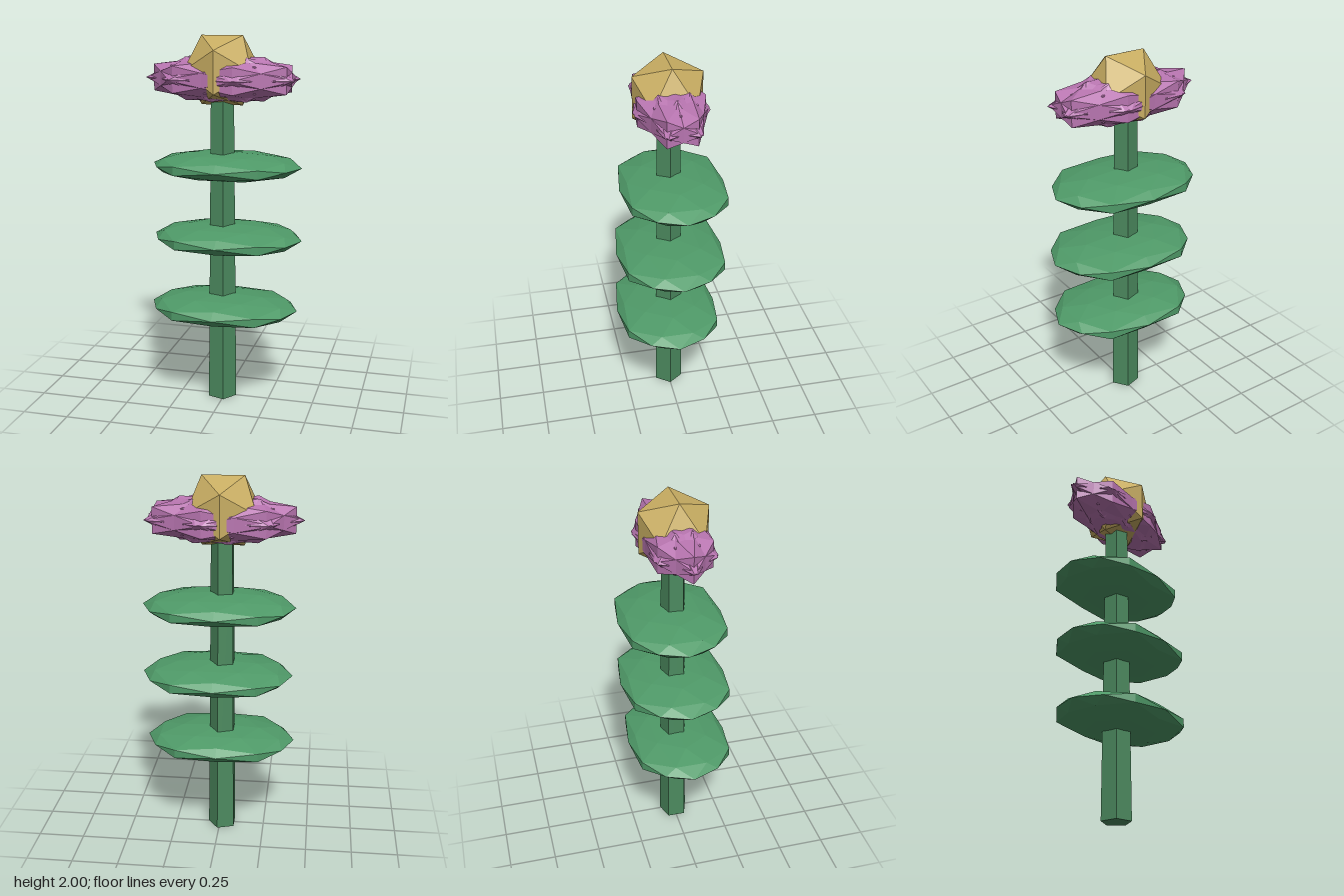
import * as THREE from 'three';

const AXIS_X = -0.016;

function part(name, geometry, color) {
  const mesh = new THREE.Mesh(geometry, new THREE.MeshStandardMaterial({ color, flatShading: true }));
  mesh.name = name;
  return mesh;
}

// Flat faceted leaf disc with a fuller rim
function leafGeometry(rx, ry, rz) {
  const geometry = new THREE.IcosahedronGeometry(1, 1);
  const p = geometry.attributes.position;
  for (let i = 0; i < p.count; i++) {
    const bump = 1 + 0.1 * Math.exp(-(((Math.abs(p.getY(i)) - 0.309) / 0.1) ** 2));
    p.setXYZ(i, p.getX(i) * bump * rx, p.getY(i) * ry, p.getZ(i) * bump * rz);
  }
  geometry.computeVertexNormals();
  return geometry;
}

export function createModel() {
  const model = new THREE.Group();
  model.name = 'flower';

  // Five-sided tapering stem
  const stem = part('stem', new THREE.CylinderGeometry(0.063, 0.081, 1.78, 5, 1, false, Math.PI / 2), 0x4c8a5f);
  stem.position.set(AXIS_X, 0.89, 0);
  model.add(stem);

  // Three stacked leaf discs: x, y, z of the centre and the z radius
  const leaves = [
    [-0.002, 0.535, 0.017, 0.278],
    [0.014, 0.925, 0, 0.29],
    [0.004, 1.315, -0.017, 0.278],
  ];
  leaves.forEach(([x, y, z, rz], i) => {
    const leaf = part(`leaf${i + 1}`, leafGeometry(0.408, 0.076, rz), 0x4f9a68);
    leaf.position.set(x, y, z);
    model.add(leaf);
  });

  // Spiky blossom: overlapping faceted petals turned about the axis, squashed as a whole
  const blossom = new THREE.Group();
  blossom.name = 'blossom';
  const count = 7;
  for (let k = 0; k < count; k++) {
    const a = -Math.PI / 2 + (k / count) * Math.PI * 2;
    const petal = part(`petal${k + 1}`, new THREE.IcosahedronGeometry(1, 0), 0xb875b0);
    petal.rotation.y = a;
    petal.position.set(Math.sin(a) * 0.1, 0, Math.cos(a) * 0.1);
    blossom.add(petal);
  }
  blossom.scale.set(0.405, 0.133, 0.186);
  blossom.position.set(-0.006, 1.777, 0);
  model.add(blossom);

  // Faceted flower centre
  const centre = part('flowerCentre', new THREE.IcosahedronGeometry(0.2116, 0), 0xc8ad62);
  centre.position.set(AXIS_X, 1.82, 0);
  model.add(centre);

  return model;
}
